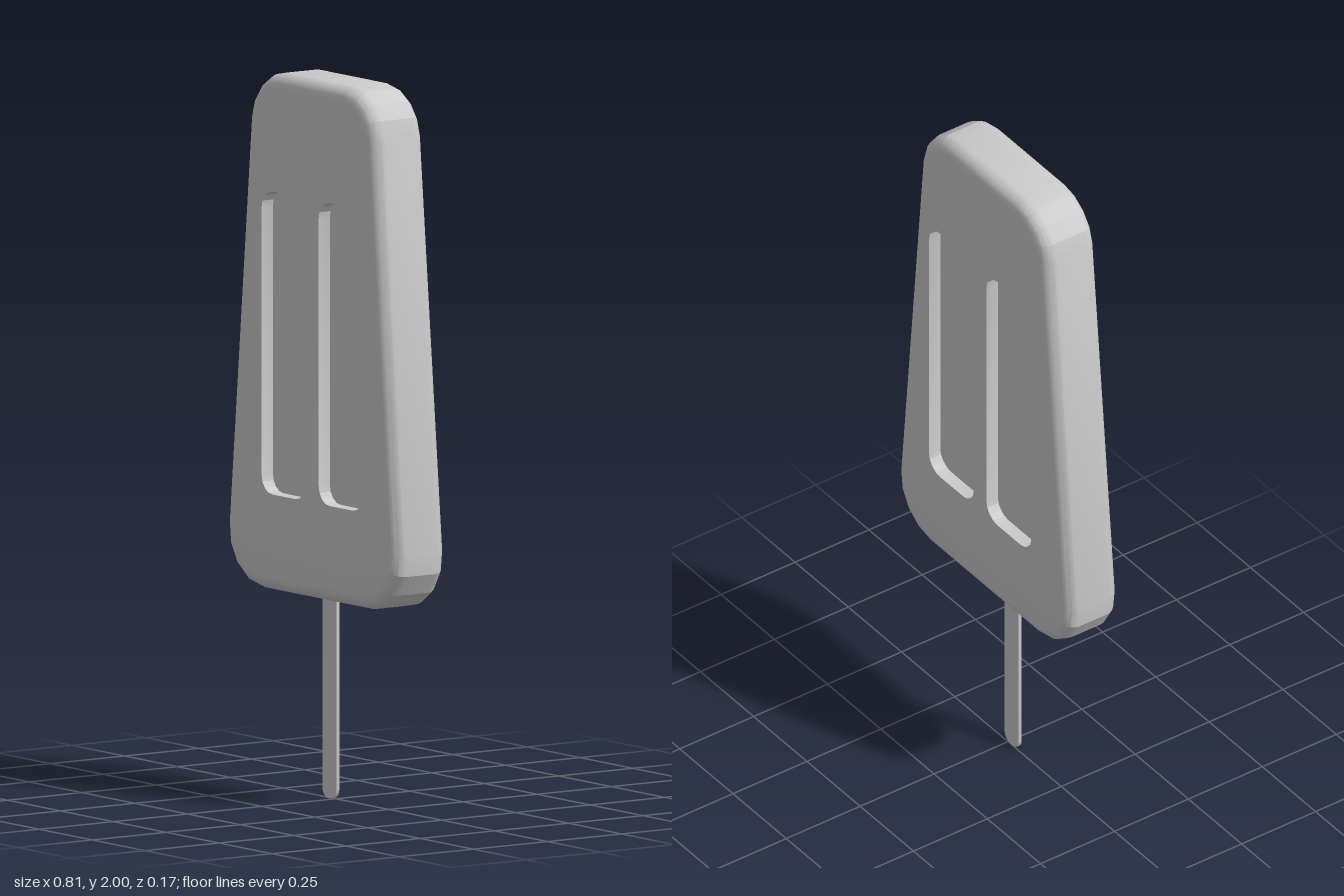
import * as THREE from 'three';
import { mergeGeometries, toCreasedNormals } from 'three/addons/utils/BufferGeometryUtils.js';

const HALF = 0.087;    // half thickness of the ice body
const BEVEL = 0.04;    // rounding of the body's rim
const GROOVE = 0.038;  // depth of the grooves
const material = new THREE.MeshStandardMaterial({ color: 0xcccccc });

// Closed shape through corner points [x, y, cut], each corner rounded off
function roundedShape(corners, Type = THREE.Shape) {
  const shape = new Type();
  corners.forEach(([x, y, cut], i) => {
    const n = corners.length;
    const c = new THREE.Vector2(x, y);
    const toward = ([px, py]) => new THREE.Vector2(px, py).sub(c).normalize();
    const a = toward(corners[(i + n - 1) % n]), b = toward(corners[(i + 1) % n]);
    const at = (d, s) => c.clone().addScaledVector(d, s);
    const start = at(a, cut), h1 = at(a, cut * 0.45), h2 = at(b, cut * 0.45), end = at(b, cut);
    if (i === 0) shape.moveTo(start.x, start.y);
    else shape.lineTo(start.x, start.y);
    shape.bezierCurveTo(h1.x, h1.y, h2.x, h2.y, end.x, end.y);
  });
  shape.closePath();
  return shape;
}

const rectCorners = (x0, x1, y0, y1, r) => [[x0, y0, r], [x1, y0, r], [x1, y1, r], [x0, y1, r]];

// Keeps only the side walls (no lids) of an extrusion
function wallsOf(extrusion) {
  const { start, count } = extrusion.groups[1];
  const walls = new THREE.BufferGeometry();
  const points = extrusion.attributes.position.array.slice(start * 3, (start + count) * 3);
  walls.setAttribute('position', new THREE.BufferAttribute(points, 3));
  return walls;
}

// Flat face at height z, facing +z
function flatFace(shape, z) {
  const face = new THREE.ShapeGeometry(shape, 4).toNonIndexed().translate(0, 0, z);
  face.deleteAttribute('uv');
  face.deleteAttribute('normal');
  return face;
}

// Same geometry on the back, with the corner order reversed
function mirrorZ(geometry) {
  const g = geometry.clone();
  const p = g.attributes.position;
  for (let i = 0; i < p.count; i += 3) {
    const v = [0, 2, 1].map((k) => new THREE.Vector3().fromBufferAttribute(p, i + k));
    v.forEach((q, k) => p.setXYZ(i + k, q.x, q.y, -q.z));
  }
  return g;
}

function addMesh(group, name, geometry) {
  const mesh = new THREE.Mesh(geometry, material);
  mesh.name = name;
  group.add(mesh);
}

export function createModel() {
  const group = new THREE.Group();
  group.name = 'icePop';

  // Tapered outline of the flat faces; the bevel grows outward from it
  const bodyCorners = [[-0.379, 0.6, 0.13], [0.379, 0.6, 0.13], [0.253, 1.96, 0.1], [-0.253, 1.96, 0.1]];
  const grooveCorners = [[-0.23, -0.02], [0.04, 0.25]].map(([x0, x1]) => rectCorners(x0, x1, 0.83, 1.67, 0.05));

  // Rounded rim
  const rim = wallsOf(new THREE.ExtrudeGeometry(roundedShape(bodyCorners), {
    depth: 2 * (HALF - BEVEL), bevelThickness: BEVEL, bevelSize: BEVEL, bevelSegments: 5, curveSegments: 4,
  })).translate(0, 0, BEVEL - HALF);

  // Flat face with the groove openings
  const faceShape = roundedShape(bodyCorners);
  faceShape.holes = grooveCorners.map((c) => roundedShape(c, THREE.Path));
  const face = flatFace(faceShape, HALF);
  addMesh(group, 'body', toCreasedNormals(mergeGeometries([rim, face, mirrorZ(face)]), 0.36));

  // Two grooves, sunk into both the front and the back
  const grooves = grooveCorners.map((c) => {
    const shape = roundedShape(c);
    const walls = wallsOf(new THREE.ExtrudeGeometry(shape, { depth: GROOVE, bevelEnabled: false, curveSegments: 4 }));
    // Turn the walls inward by mirroring twice in z but reversing the order once
    const inward = mirrorZ(walls).scale(1, 1, -1).translate(0, 0, HALF - GROOVE);
    return mergeGeometries([inward, flatFace(shape, HALF - GROOVE)]);
  });
  const frontGrooves = mergeGeometries(grooves);
  addMesh(group, 'frontGrooves', toCreasedNormals(frontGrooves, 0.36));
  addMesh(group, 'backGrooves', toCreasedNormals(mirrorZ(frontGrooves), 0.36));

  // Thin flat stick with rounded ends
  const stick = new THREE.ExtrudeGeometry(roundedShape(rectCorners(-0.05, 0.016, 0, 0.7, 0.028)), {
    depth: 0.01, bevelEnabled: false, curveSegments: 5,
  }).translate(0, 0, 0);
  addMesh(group, 'stick', toCreasedNormals(stick, 0.5));

  return group;
}
